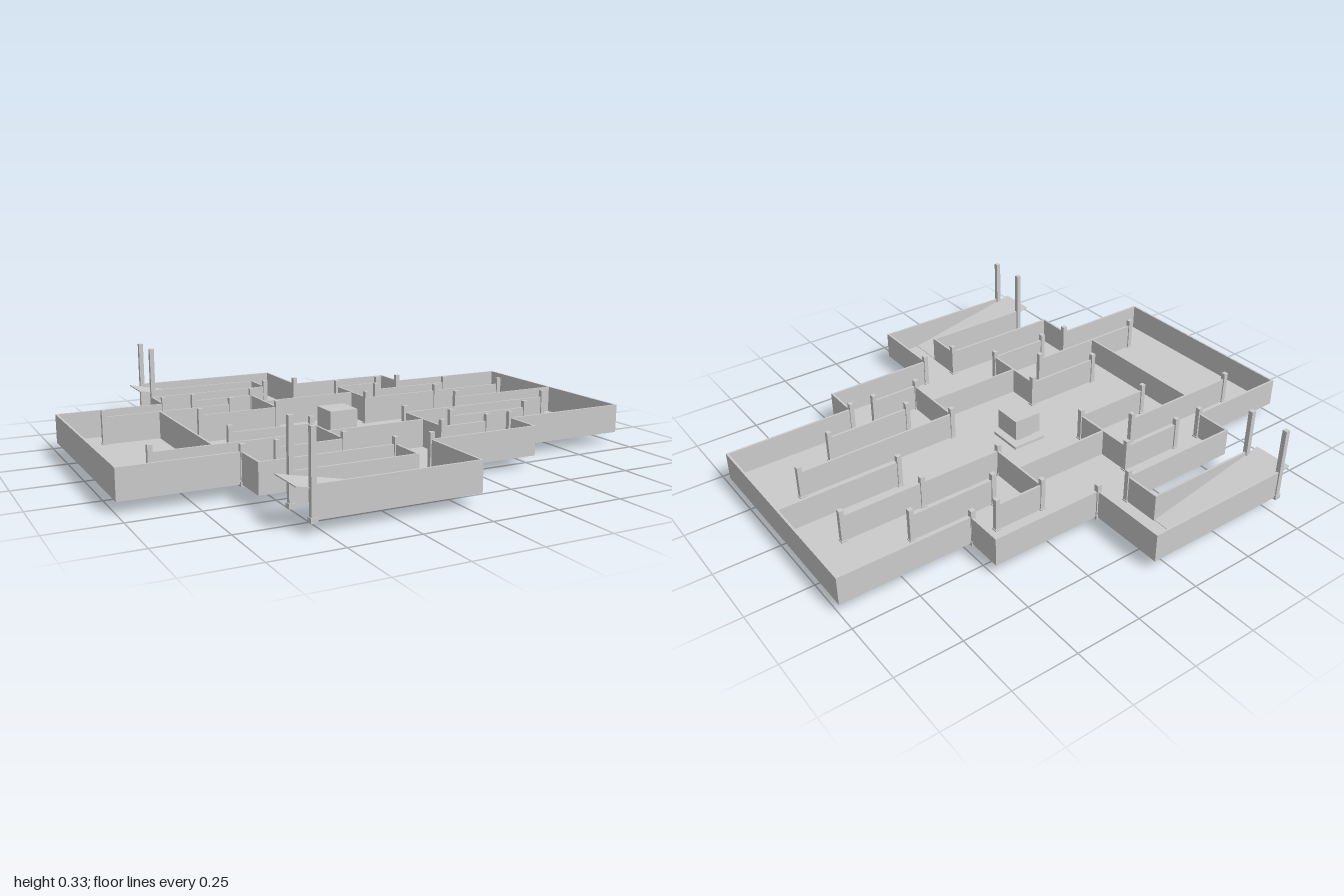
import * as THREE from 'three';

const FLOOR = 0.045, WALL_TOP = 0.152, T = 0.008, ZC = -0.004;

export function createModel() {
  const root = new THREE.Group();
  const mat = new THREE.MeshStandardMaterial({ color: 0xcccccc, flatShading: true, side: THREE.DoubleSide });

  const box = (parent, name, x0, x1, y0, y1, z0, z1) => {
    const m = new THREE.Mesh(new THREE.BoxGeometry(x1 - x0, y1 - y0, Math.abs(z1 - z0)), mat);
    m.position.set((x0 + x1) / 2, (y0 + y1) / 2, (z0 + z1) / 2);
    m.name = name;
    parent.add(m);
    return m;
  };
  const group = (name) => {
    const g = new THREE.Group();
    g.name = name;
    root.add(g);
    return g;
  };

  const outer = group('outerWalls'), inner = group('innerWalls');
  const posts = group('posts'), ramps = group('ramps');

  // Axis-aligned wall between two plan points
  const wall = (parent, xa, za, xb, zb) => box(parent, 'wall',
    Math.min(xa, xb) - T / 2, Math.max(xa, xb) + T / 2, FLOOR - 0.003, WALL_TOP,
    Math.min(za, zb) - T / 2, Math.max(za, zb) + T / 2);

  // Square post on a slightly wider foot
  const post = (x, z, top = 0.178) => {
    const p = new THREE.Group();
    p.name = 'post';
    box(p, 'shaft', x - 0.009, x + 0.009, 0.04, top, z - 0.009, z + 0.009);
    box(p, 'foot', x - 0.012, x + 0.012, 0.035, 0.052, z - 0.012, z + 0.012);
    posts.add(p);
  };

  // Stepped floor plate
  const half = [[-0.996, 0.415], [-0.58, 0.415], [-0.58, 0.558], [-0.085, 0.558], [-0.085, 0.856],
    [0.055, 0.856], [0.055, 0.558], [0.49, 0.558], [0.49, 0.415], [0.996, 0.415]];
  const outline = [...half, ...half.map(([x, z]) => [x, -z]).reverse()]
    .map(([x, z]) => new THREE.Vector2(x, -(z + ZC)));
  const floorGeo = new THREE.ExtrudeGeometry(new THREE.Shape(outline), { depth: 0.004, bevelEnabled: false });
  floorGeo.rotateX(-Math.PI / 2);
  const floor = new THREE.Mesh(floorGeo, mat);
  floor.name = 'floor';
  floor.position.y = FLOOR - 0.002;
  root.add(floor);

  // End walls
  for (const x of [-0.996, 0.996]) wall(outer, x, -0.415 + ZC, x, 0.415 + ZC);

  // Everything that repeats on the front and back halves
  for (const s of [1, -1]) {
    const Z = (z) => s * z + ZC;

    // Stepped outer wall
    for (const [xa, za, xb, zb] of [
      [-0.996, 0.415, -0.58, 0.415], [-0.58, 0.415, -0.58, 0.558], [-0.58, 0.558, -0.085, 0.558],
      [-0.085, 0.558, -0.085, 0.70], [0.055, 0.558, 0.055, 0.856], [0.055, 0.558, 0.49, 0.558],
      [0.49, 0.558, 0.49, 0.415], [0.49, 0.415, 0.996, 0.415],
      [-0.54, 0.70, -0.085, 0.70], [-0.54, 0.856, 0.055, 0.856],
    ]) wall(outer, xa, Z(za), xb, Z(zb));
    for (const [x, z] of [[-0.578, 0.415], [0.486, 0.415], [-0.085, 0.558], [0.055, 0.558]]) post(x, Z(z));

    // Inner walls with a post at each end
    for (const [x0, x1, z] of [
      [-0.85, -0.345, 0.288], [-0.455, -0.205, 0.415], [-0.52, -0.205, 0.154],
      [0.19, 0.385, 0.415], [0.31, 0.65, 0.288], [0.19, 0.84, 0.154],
    ]) {
      wall(inner, x0, Z(z), x1, Z(z));
      post(x0, Z(z));
      post(x1, Z(z));
    }
    // Room partitions
    wall(inner, -0.205, Z(0.154), -0.205, Z(0.415));
    wall(inner, 0.193, Z(0.154), 0.193, Z(0.415));
    wall(inner, -0.205, Z(0.284), 0.193, Z(0.284));

    // Entrance ramp, rising outward, with tall gate posts
    const profile = new THREE.Shape([[-0.085, FLOOR], [-0.59, 0.148], [-0.59, 0.152], [-0.085, FLOOR + 0.004]]
      .map(([x, y]) => new THREE.Vector2(x, y)));
    const ramp = new THREE.Mesh(
      new THREE.ExtrudeGeometry(profile, { depth: 0.152, bevelEnabled: false }), mat);
    ramp.name = 'ramp';
    ramp.position.z = Z(0.778) - 0.076;
    ramps.add(ramp);
    for (const z of [0.70, 0.856]) post(-0.536, Z(z), 0.327);
  }

  // Single walls and posts
  wall(inner, -0.633, -0.288 + ZC, -0.633, 0.288 + ZC);
  wall(inner, 0.52, 0, 0.996, 0);
  post(0.52, 0);
  post(0.52, -0.158);

  // Central pedestal: base through the floor, neck and block
  const pedestal = group('pedestal');
  box(pedestal, 'base', -0.092, 0.048, 0, 0.058, -0.072, 0.066);
  box(pedestal, 'neck', -0.058, 0.014, 0.058, 0.082, -0.039, 0.033);
  box(pedestal, 'block', -0.078, 0.036, 0.08, 0.162, -0.06, 0.054);

  return root;
}
